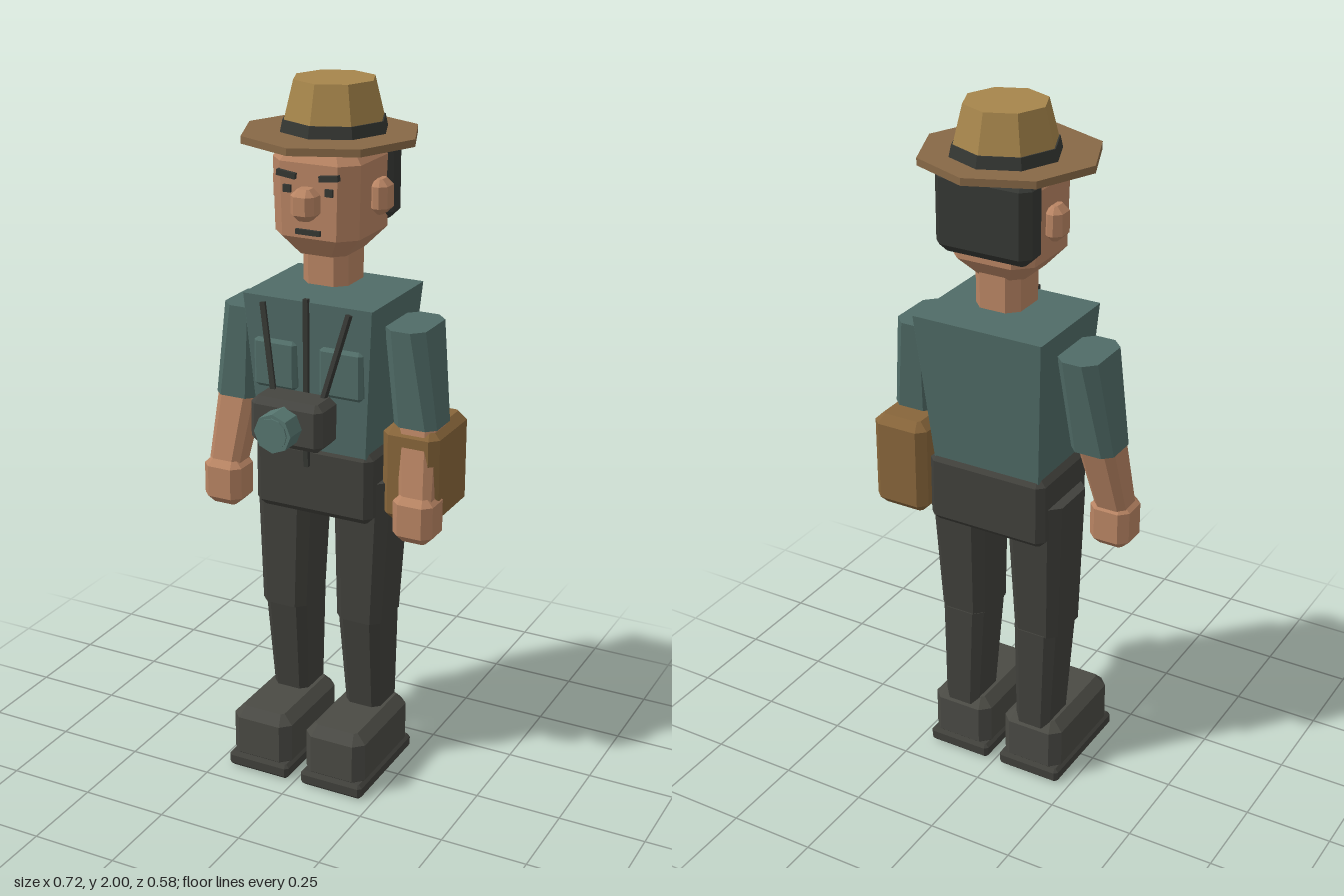
import * as THREE from 'three';

const mat = (name, color) => {
  const m = new THREE.MeshStandardMaterial({ color });
  m.name = name;
  return m;
};

// Flat-faced copy of a geometry
function faceted(geo) {
  const g = geo.index ? geo.toNonIndexed() : geo;
  g.computeVertexNormals();
  return g;
}

// Loft through chamfered rectangles: rings of [y, cx, cz, halfX, halfZ, chamfer], bottom to top
function loft(rings) {
  const pos = [], idx = [], n = 8;
  for (const [y, cx, cz, hx, hz, c] of rings) {
    const a = hx - c, b = hz - c;
    const pts = [[hx, b], [hx, -b], [a, -hz], [-a, -hz], [-hx, -b], [-hx, b], [-a, hz], [a, hz]];
    for (const [x, z] of pts) pos.push(cx + x, y, cz + z);
  }
  for (let r = 0; r < rings.length - 1; r++) {
    for (let i = 0; i < n; i++) {
      const a = r * n + i, b = r * n + (i + 1) % n;
      idx.push(a, b, b + n, a, b + n, a + n);
    }
  }
  const t = (rings.length - 1) * n;
  for (let i = 1; i < n - 1; i++) idx.push(0, i + 1, i, t, t + i, t + i + 1);
  const g = new THREE.BufferGeometry();
  g.setAttribute('position', new THREE.Float32BufferAttribute(pos, 3));
  g.setIndex(idx);
  return faceted(g);
}

// Box with all edges chamfered by c, given by its extents
function block(x0, x1, y0, y1, z0, z1, c) {
  const cx = (x0 + x1) / 2, cz = (z0 + z1) / 2, hx = (x1 - x0) / 2, hz = (z1 - z0) / 2;
  const inner = [hx - c, hz - c, c * 0.3], outer = [hx, hz, c];
  return loft([[y0, cx, cz, ...inner], [y0 + c, cx, cz, ...outer],
    [y1 - c, cx, cz, ...outer], [y1, cx, cz, ...inner]]);
}

function box(w, h, d, x, y, z) {
  return new THREE.BoxGeometry(w, h, d).translate(x, y, z);
}

// Thin square bar between two points
function bar(a, b, w) {
  const p = new THREE.Vector3(...a), q = new THREE.Vector3(...b), d = q.clone().sub(p);
  const g = new THREE.BoxGeometry(w, d.length(), w);
  g.applyQuaternion(new THREE.Quaternion().setFromUnitVectors(new THREE.Vector3(0, 1, 0), d.normalize()));
  const m = p.add(q).multiplyScalar(0.5);
  return g.translate(m.x, m.y, m.z);
}

function drum(rTop, rBottom, y0, y1, z) {
  return faceted(new THREE.CylinderGeometry(rTop, rBottom, y1 - y0, 8)).translate(0, (y0 + y1) / 2, z);
}

export function createModel() {
  const group = new THREE.Group();
  const skin = mat('skin', 0xb88463);
  const shirt = mat('shirt', 0x506c67);
  const trousers = mat('trousers', 0x40403b);
  const boot = mat('boot', 0x4a4a44);
  const dark = mat('hair and strap', 0x353733);
  const hat = mat('hat crown', 0xa6854b);
  const brim = mat('hat brim', 0x876846);
  const leather = mat('leather', 0x87653a);
  const cameraBody = mat('camera body', 0x454540);
  const lensTeal = mat('lens', 0x56756f);

  const add = (name, geo, material) => {
    const mesh = new THREE.Mesh(geo, material);
    mesh.name = name;
    group.add(mesh);
    return mesh;
  };

  // Hat
  add('hatBrim', drum(0.245, 0.245, 1.845, 1.865, -0.048), brim);
  add('hatBand', drum(0.143, 0.15, 1.865, 1.897, -0.07), dark);
  add('hatCrown', drum(0.113, 0.147, 1.866, 2.0, -0.07), hat);

  // Head and neck
  add('head', loft([
    [1.545, 0, -0.05, 0.075, 0.085, 0.03],
    [1.6, 0, -0.055, 0.125, 0.13, 0.045],
    [1.8, 0, -0.055, 0.13, 0.132, 0.045],
    [1.85, 0, -0.055, 0.09, 0.1, 0.03],
  ]), skin);
  add('neck', loft([[1.455, 0, -0.068, 0.068, 0.076, 0.03], [1.57, 0, -0.068, 0.068, 0.076, 0.03]]), skin);
  add('hair', block(-0.142, 0.142, 1.615, 1.845, -0.21, -0.115, 0.025), dark);
  add('nose', block(-0.035, 0.035, 1.655, 1.74, 0.06, 0.13, 0.018), skin);
  add('mouth', box(0.072, 0.014, 0.012, 0, 1.618, 0.078), dark);

  // Shirt and hips
  add('torso', loft([
    [0.98, 0, -0.063, 0.163, 0.12, 0.002],
    [1.43, 0, -0.07, 0.195, 0.16, 0.002],
  ]), shirt);
  add('hips', block(-0.181, 0.181, 0.8, 1.01, -0.197, 0.066, 0.02), trousers);

  // Paired parts
  for (const s of [-1, 1]) {
    const side = s > 0 ? 'left' : 'right';
    add(side + 'Ear', block(s * 0.145 - 0.026, s * 0.145 + 0.026, 1.655, 1.75, -0.1, -0.025, 0.018), skin);
    add(side + 'Eye', box(0.022, 0.02, 0.012, s * 0.062, 1.73, 0.078), dark);
    add(side + 'Brow', bar([s * 0.035, 1.765, 0.08], [s * 0.09, 1.772, 0.08], 0.016), dark);
    add(side + 'Pocket', block(s * 0.1 - 0.065, s * 0.1 + 0.065, 1.17, 1.31, 0.05, 0.092, 0.01), shirt);

    // Arms lean outward, with the forearms swinging forward
    add(side + 'Sleeve', loft([
      [1.09, s * 0.278, -0.055, 0.064, 0.068, 0.025],
      [1.365, s * 0.246, -0.068, 0.06, 0.095, 0.032],
    ]), shirt);
    add(side + 'Forearm', loft([
      [0.88, s * 0.3, 0.005, 0.048, 0.045, 0.018],
      [1.1, s * 0.28, -0.05, 0.057, 0.058, 0.022],
    ]), skin);
    add(side + 'Hand', block(s * 0.298 - 0.06, s * 0.298 + 0.06, 0.77, 0.91, -0.05, 0.064, 0.024), skin);

    // Legs
    add(side + 'Thigh', loft([
      [0.48, s * 0.12, -0.056, 0.07, 0.084, 0.025],
      [0.915, s * 0.122, -0.07, 0.088, 0.095, 0.03],
    ]), trousers);
    add(side + 'Shin', loft([
      [0.17, s * 0.119, -0.083, 0.055, 0.067, 0.02],
      [0.485, s * 0.118, -0.062, 0.067, 0.082, 0.025],
    ]), trousers);
    add(side + 'Boot', block(s * 0.118 - 0.094, s * 0.118 + 0.094, 0.02, 0.19, -0.155, 0.172, 0.028), boot);
    add(side + 'Sole', block(s * 0.118 - 0.098, s * 0.118 + 0.098, 0, 0.045, -0.163, 0.182, 0.01), trousers);

    add(side + 'CameraStrap', bar([s * 0.13, 1.415, 0.097], [s * 0.075, 1.18, 0.14], 0.014), dark);
  }

  // Camera hanging on the chest
  add('centreStrap', box(0.014, 0.48, 0.012, 0, 1.2, 0.093), dark);
  add('camera', block(-0.108, 0.108, 1.055, 1.19, 0.108, 0.222, 0.018), cameraBody);
  const barrel = faceted(new THREE.CylinderGeometry(0.055, 0.055, 0.085, 8)).rotateX(Math.PI / 2);
  add('cameraLens', barrel.translate(0, 1.122, 0.243), lensTeal);
  const glass = faceted(new THREE.CylinderGeometry(0.044, 0.044, 0.006, 12)).rotateX(Math.PI / 2);
  add('lensGlass', glass.translate(0, 1.122, 0.287), lensTeal);

  // Satchel on the left hip
  add('satchel', block(0.187, 0.355, 0.81, 1.09, -0.21, 0.02, 0.024), leather);

  return group;
}
